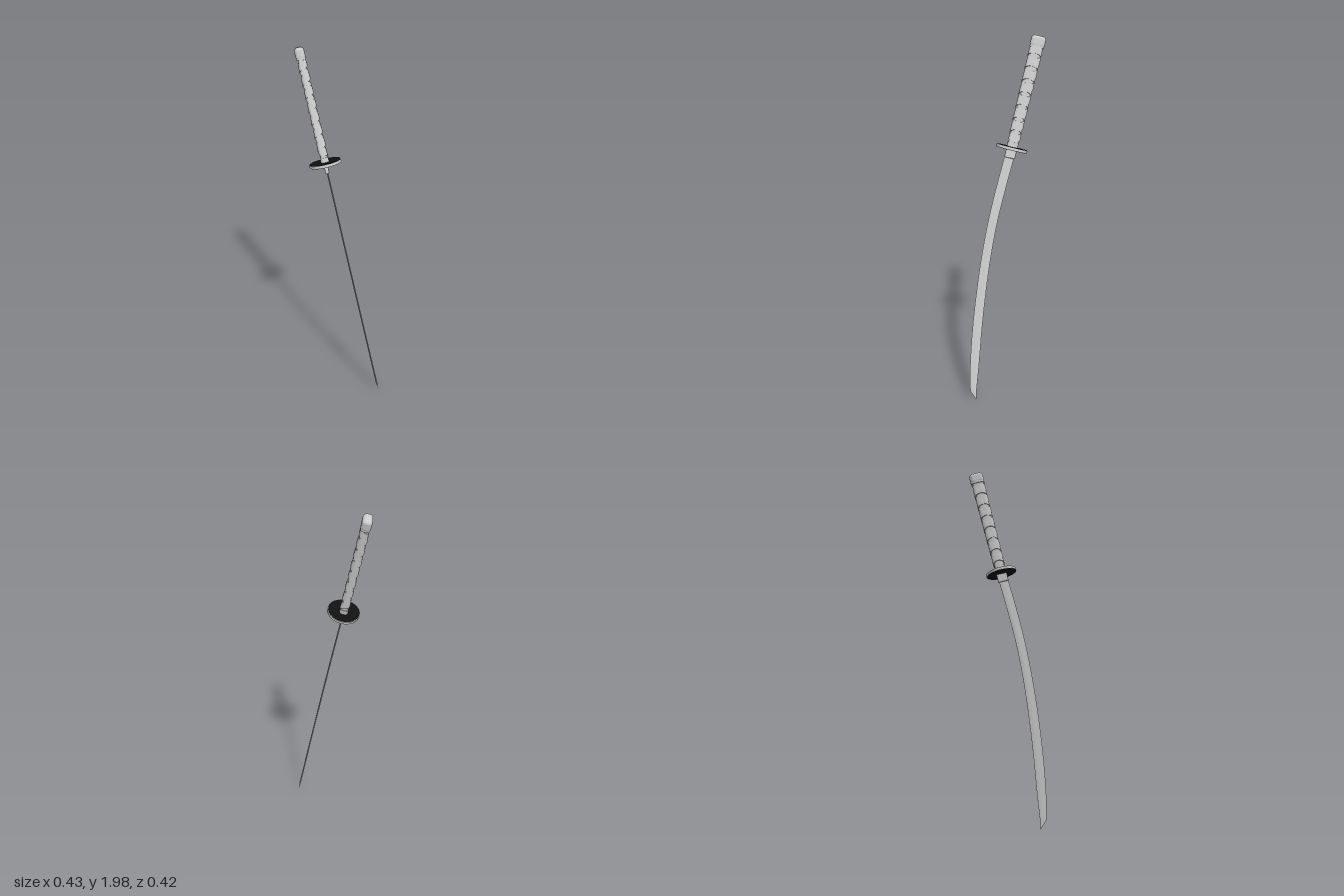
import * as THREE from 'three';
import { toCreasedNormals } from 'three/addons/utils/BufferGeometryUtils.js';
import { RoundedBoxGeometry } from 'three/addons/geometries/RoundedBoxGeometry.js';

const grey = new THREE.MeshStandardMaterial({ color: 0xcccccc });
const black = new THREE.MeshStandardMaterial({ color: 0x111111 });

function part(name, geometry, material = grey, y = 0) {
  const mesh = new THREE.Mesh(geometry, material);
  mesh.name = name;
  mesh.position.y = y;
  return mesh;
}

// Skin a row of closed cross-sections and cap both ends
function loft(rings, crease) {
  const n = rings[0].length, pos = [], idx = [];
  rings.forEach(r => r.forEach(p => pos.push(...p)));
  for (let r = 0; r < rings.length - 1; r++) {
    for (let i = 0; i < n; i++) {
      const a = r * n + i, b = r * n + (i + 1) % n;
      idx.push(a, a + n, b, b, a + n, b + n);
    }
  }
  const last = (rings.length - 1) * n;
  for (let i = 1; i < n - 1; i++) {
    idx.push(0, i, i + 1, last, last + i + 1, last + i);
  }
  const g = new THREE.BufferGeometry();
  g.setAttribute('position', new THREE.Float32BufferAttribute(pos, 3));
  g.setIndex(idx);
  return toCreasedNormals(g, crease);
}

// Rounded, boxy grip outline, widening slightly towards the pommel
function gripPoint(a, y, out = 0) {
  const soft = v => Math.sign(v) * Math.abs(v) ** 0.6;
  const rz = 0.027 + 0.010 * y;
  return [(0.019 + out) * soft(Math.cos(a)), y, (rz + out) * soft(Math.sin(a))];
}

function gripRing(y, out) {
  return Array.from({ length: 32 }, (_, i) => gripPoint(i / 32 * Math.PI * 2, y, out));
}

// Flat ribbon wound around the grip; dir sets the winding sense
function ribbon(dir, out) {
  const turns = 7, steps = turns * 40, y0 = 0.055, y1 = 0.545, w = 0.021;
  const rings = [];
  for (let s = 0; s <= steps; s++) {
    const a = dir * s / 40 * Math.PI * 2, y = y0 + (y1 - y0) * s / steps;
    const ring = [
      gripPoint(a, y + w, out), gripPoint(a, y - w, out + 0.0025),
      gripPoint(a, y - w, -0.002), gripPoint(a, y + w, -0.002),
    ];
    rings.push(dir > 0 ? ring : ring.reverse());
  }
  return loft(rings, 0.6);
}

// Curved blade: height, cutting edge z and spine z, from the tip end upwards
function blade() {
  const rows = [
    [0.06, 0.215, 0.180], [0.2, 0.214, 0.165], [0.4, 0.2, 0.147], [0.6, 0.177, 0.124],
    [0.8, 0.147, 0.095], [1.0, 0.108, 0.056], [1.2, 0.058, 0.004], [1.39, 0.004, -0.05],
  ];
  const curve = k => new THREE.CatmullRomCurve3(rows.map(r => new THREE.Vector3(0, r[0], r[k])));
  const edge = curve(1).getPoints(42), spine = curve(2).getPoints(42);
  // slanted point, where the cutting edge runs up to the spine
  edge.unshift(new THREE.Vector3(0, 0.012, 0.183));
  spine.unshift(new THREE.Vector3(0, 0.013, 0.181));
  const rings = edge.map((e, i) => {
    const s = spine[i], ridge = s.clone().lerp(e, 0.35), t = i ? 0.0042 : 0.0006;
    const h = v => (v.y - 1.03) * 1.021;
    return [
      [t, h(ridge), ridge.z], [0, h(e), e.z], [-t, h(ridge), ridge.z],
      [-t * 0.65, h(s), s.z], [t * 0.65, h(s), s.z],
    ];
  });
  return loft(rings, 0.15);
}

export function createModel() {
  const model = new THREE.Group();
  model.name = 'sword';

  // Whole sword leans sideways
  const sword = new THREE.Group();
  sword.name = 'leaningSword';
  sword.position.y = 1.03;
  sword.rotation.z = 0.202;
  model.add(sword);
  sword.add(part('blade', blade()));

  // Guard and handle follow the tangent at the top of the blade
  const hilt = new THREE.Group();
  hilt.name = 'hilt';
  hilt.position.set(0, 0.373, -0.025);
  hilt.rotation.x = -0.245;
  sword.add(hilt);

  // Round guard: pale rim with dark faces
  hilt.add(part('guardRim', new THREE.CylinderGeometry(0.086, 0.086, 0.014, 64)));
  hilt.add(part('guardFaces', new THREE.CylinderGeometry(0.083, 0.083, 0.017, 64), black));

  // Blade collar and grip ferrule
  hilt.add(part('bladeCollar', new RoundedBoxGeometry(0.021, 0.056, 0.059, 3, 0.006), grey, -0.026));
  hilt.add(part('ferrule', loft([gripRing(0.006, 0.003), gripRing(0.034, 0.003)], 0.6)));

  // Grip core with two crossing ribbons
  hilt.add(part('gripCore', loft([gripRing(0.01, 0), gripRing(0.58, 0)], 0.6)));
  hilt.add(part('gripWrapRight', ribbon(1, 0.002)));
  hilt.add(part('gripWrapLeft', ribbon(-1, 0.0035)));

  // Rounded pommel with a thin band at its base
  hilt.add(part('pommel', new RoundedBoxGeometry(0.051, 0.066, 0.08, 5, 0.02), grey, 0.586));
  hilt.add(part('pommelBand', loft([gripRing(0.555, 0.006), gripRing(0.575, 0.006)], 0.6)));

  return model;
}
